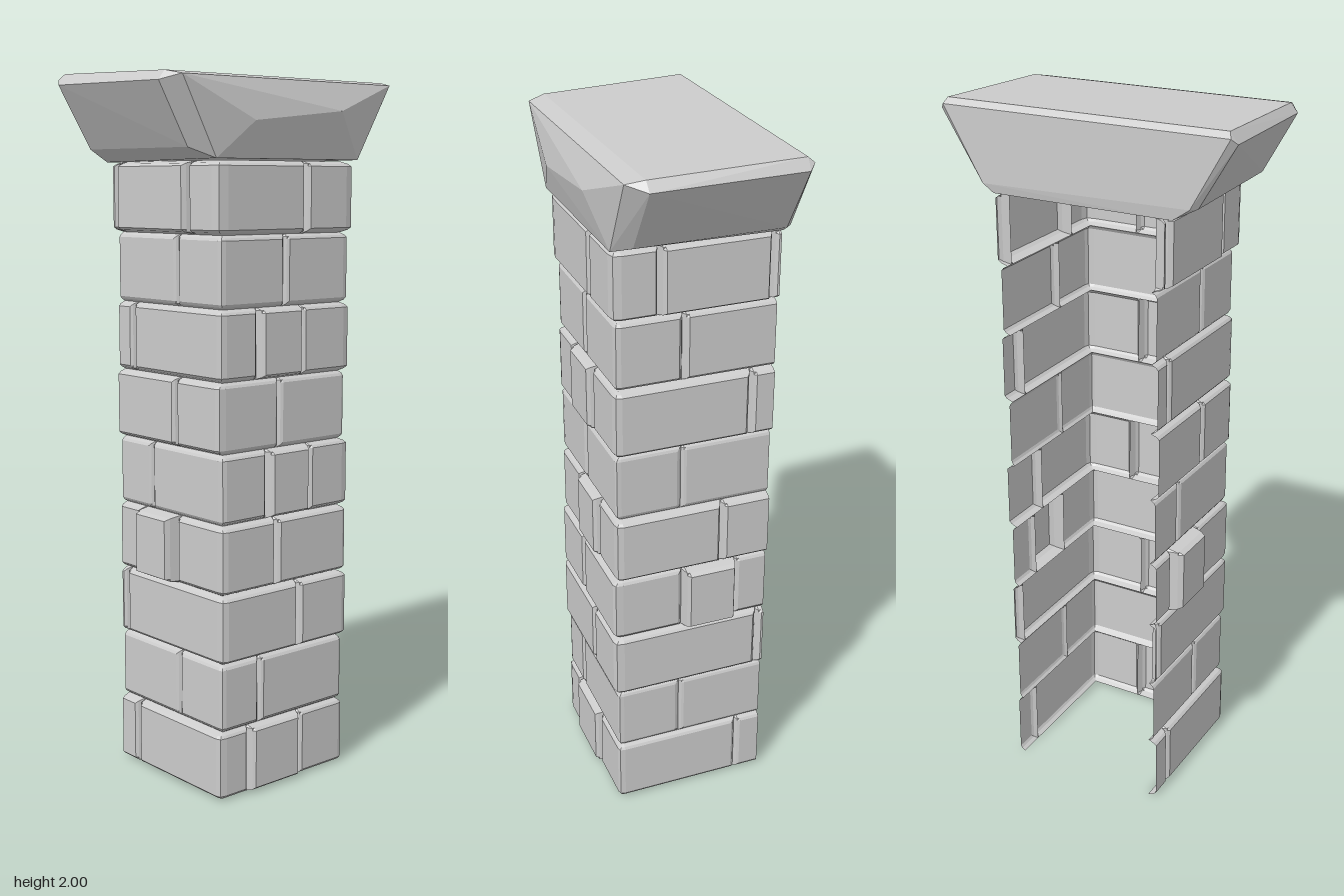
import * as THREE from 'three';
import { ConvexGeometry } from 'three/addons/geometries/ConvexGeometry.js';

// Mortar planes of the open-backed, three-sided shaft
const LEFT = -0.205, RIGHT = 0.23, FRONT = 0.185, BACK = -0.25;
const C1 = FRONT - BACK, C2 = C1 + RIGHT - LEFT, END = C2 + C1; // corners along the plan path
const COURSE = 1.768 / 9;
const BEVEL = [[0, 0], [0.007, 0.7], [0.014, 1]]; // [distance from joint, rise]

// Per course, bottom to top: front joints (x), side joints (z), how far each face stands out
const courses = [
  { front: [-0.12, 0.07], side: [-0.175], out: [0.025, 0.018, 0.015] },
  { front: [-0.08], side: [0.01], out: [0.015, 0.016, 0.01] },
  { front: [0.06], side: [-0.23], out: [0.02, 0.027, 0.02] },
  { front: [-0.025], side: [0.005, -0.155], out: [0.02, 0.026, 0.015] },
  { front: [-0.055, 0.1], side: [-0.11], out: [0.015, 0.02, 0.025] },
  { front: [-0.01], side: [0.01], out: [0.025, 0.015, 0.01] },
  { front: [-0.09, 0.07], side: [-0.185], out: [0.02, 0.02, 0.025] },
  { front: [0.01], side: [0.01], out: [0.015, 0.016, 0.02] },
  { front: [0.08], side: [0.08, -0.23], out: [0.035, 0.026, 0.03] },
];

// Plan position at distance s along the left, front and right faces
function planPoint(s, rise, [l, f, r]) {
  if (s === C1) return [LEFT - 0.8 * rise * l, FRONT + 0.8 * rise * f];
  if (s === C2) return [RIGHT + 0.8 * rise * r, FRONT + 0.8 * rise * f];
  if (s < C1) return [LEFT - rise * l, BACK + s];
  if (s < C2) return [LEFT + s - C1, FRONT + rise * f];
  return [RIGHT + rise * r, FRONT - (s - C2)];
}

// A bevelled brick skin, wrapping round a corner where needed
function brickGeometry(s0, s1, y0, y1, out) {
  const cols = s0 === 0 ? [[0, 1]] : BEVEL.map(([d, f]) => [s0 + d, f]);
  for (const c of [C1, C2]) {
    if (s0 < c && s1 > c) cols.push([c - 1e-4, 1], [c, 1], [c + 1e-4, 1]);
  }
  if (s1 === END) cols.push([END, 1]);
  else cols.push(...BEVEL.map(([d, f]) => [s1 - d, f]).reverse());
  const rows = [
    ...BEVEL.map(([d, f]) => [y0 + d, f]),
    ...BEVEL.map(([d, f]) => [y1 - d, f]).reverse(),
  ];

  const pos = [], index = [], n = cols.length;
  for (const [y, fy] of rows) {
    for (const [s, fs] of cols) {
      const [x, z] = planPoint(s, Math.min(fy, fs), out);
      pos.push(x, y, z);
    }
  }
  for (let r = 0; r < rows.length - 1; r++) {
    for (let c = 0; c < n - 1; c++) {
      const a = r * n + c;
      index.push(a, a + 1, a + n + 1, a, a + n + 1, a + n);
    }
  }
  const g = new THREE.BufferGeometry();
  g.setAttribute('position', new THREE.Float32BufferAttribute(pos, 3));
  g.setIndex(index);
  g.computeVertexNormals();
  return g;
}

export function createModel() {
  const model = new THREE.Group();
  model.name = 'stonePillar';
  const stone = new THREE.MeshStandardMaterial({
    color: 0xcccccc, flatShading: true, side: THREE.DoubleSide,
  });

  // Brick shaft
  courses.forEach(({ front, side, out }, i) => {
    const course = new THREE.Group();
    course.name = `brickCourse${i + 1}`;
    const joints = [
      0, END,
      ...front.map((x) => C1 + x - LEFT),
      ...side.flatMap((z) => [z - BACK, C2 + FRONT - z]),
    ].sort((a, b) => a - b);
    for (let k = 0; k < joints.length - 1; k++) {
      const s0 = joints[k], s1 = joints[k + 1];
      const wraps = [C1, C2].some((c) => s0 < c && s1 > c);
      const single = !wraps && s0 > 0 && s1 < END;
      // Small bricks in the middle of a face stand proud
      const push = single ? (s0 > C1 && s1 < C2 ? 0.012 : (s1 - s0 < 0.2 ? 0.03 : 0.008)) : 0;
      const brick = new THREE.Mesh(
        brickGeometry(s0, s1, i * COURSE, (i + 1) * COURSE, out.map((o) => o + push)), stone);
      brick.name = 'brick';
      course.add(brick);
    }
    model.add(course);
  });

  // Capstone: flaring slab with chipped edges and a bulging front
  const capPoints = [
    // top face
    [-0.405, 2, -0.238], [0.405, 2, -0.238], [0.4, 1.99, 0.173], [-0.383, 1.99, 0.173],
    // rim
    [-0.415, 1.985, -0.255], [0.41, 1.985, -0.255], [-0.427, 1.97, -0.238], [0.425, 1.97, -0.238],
    [-0.403, 1.965, 0.173], [0.425, 1.965, 0.173], [-0.365, 1.98, 0.222], [0.385, 1.98, 0.222],
    // front bulge
    [-0.14, 1.87, 0.247], [0.17, 1.902, 0.252],
    // underside
    [-0.325, 1.8, -0.238], [0.31, 1.79, -0.238], [-0.31, 1.8, -0.255], [0.295, 1.79, -0.255],
    [-0.31, 1.8, 0.173], [0.31, 1.79, 0.173], [-0.26, 1.766, -0.25], [0.265, 1.766, -0.25],
    [-0.25, 1.772, 0.217], [0.265, 1.772, 0.217],
  ].map((p) => new THREE.Vector3(...p));
  const cap = new THREE.Mesh(new ConvexGeometry(capPoints), stone);
  cap.name = 'capstone';
  model.add(cap);

  return model;
}
